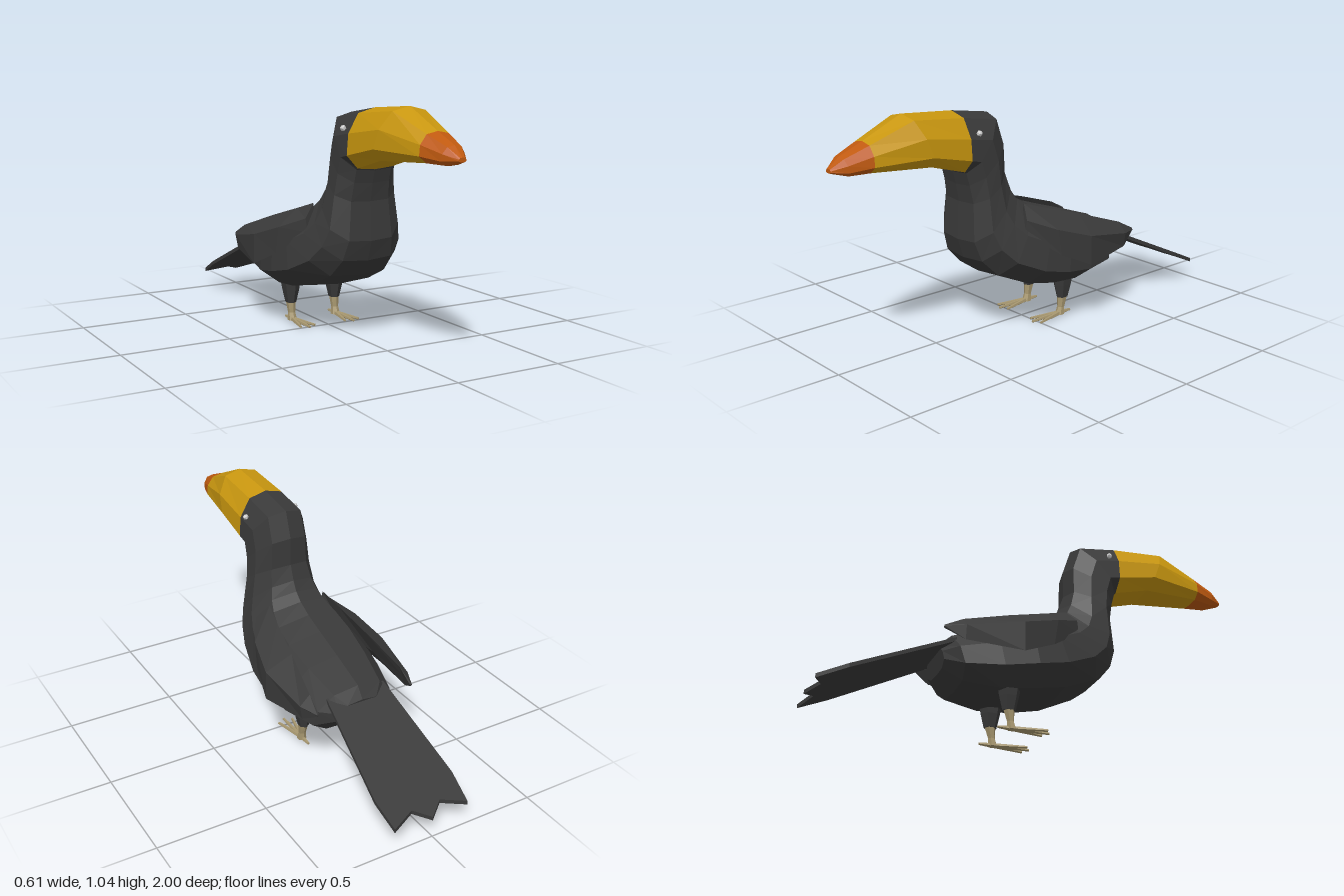
import * as THREE from 'three';

const mat = (color) => new THREE.MeshStandardMaterial({ color, flatShading: true });

// Skin over a list of closed rings of [x, y, z], with both ends capped
function loft(rings) {
  const n = rings[0].length, last = (rings.length - 1) * n, index = [];
  for (let r = 0; r < rings.length - 1; r++) {
    for (let i = 0; i < n; i++) {
      const a = r * n + i, b = r * n + (i + 1) % n;
      index.push(a, b, b + n, a, b + n, a + n);
    }
  }
  for (let i = 1; i < n - 1; i++) {
    index.push(0, i + 1, i, last, last + i, last + i + 1);
  }
  const g = new THREE.BufferGeometry();
  g.setAttribute('position', new THREE.Float32BufferAttribute(rings.flat(2), 3));
  g.setIndex(index);
  const flat = g.toNonIndexed();
  flat.computeVertexNormals();
  return flat;
}

// Half outline of a section: [height fraction, width fraction]
const HALF = [[0, 0], [0.03, 0.62], [0.25, 1], [0.6, 0.95], [0.92, 0.6], [1, 0]];

// Section given by its lower point, upper point (z, y) and half width
function section([z0, y0, z1, y1, w]) {
  const at = ([t, f], s) => [s * f * w, y0 + (y1 - y0) * t, z0 + (z1 - z0) * t];
  return [...HALF.map((p) => at(p, 1)), ...HALF.slice(1, -1).reverse().map((p) => at(p, -1))];
}

// Four-cornered or any other ring mirrored to one side
const toSide = (rings, s) => rings.map((ring) => {
  const m = ring.map(([x, y, z]) => [x * s, y, z]);
  return s < 0 ? m.reverse() : m;
});

// Horizontal polygon ring, ordered for a skin that runs upwards
const ringXZ = (x, y, z, rx, rz, n = 6) => Array.from({ length: n }, (_, i) => {
  const a = -(i + 0.5) / n * Math.PI * 2;
  return [x + rx * Math.cos(a), y, z + rz * Math.sin(a)];
});

export function createModel() {
  const model = new THREE.Group();
  const black = mat(0x3a3a3a), yellow = mat(0xc8960f), orange = mat(0xc05a10);
  const tan = mat(0xa89870), grey = mat(0xcccccc);
  const add = (name, geometry, material, parent = model) => {
    const mesh = new THREE.Mesh(geometry, material);
    mesh.name = name;
    parent.add(mesh);
    return mesh;
  };

  // Body, neck and head, from rump to beak base
  add('body', loft([
    [-0.44, 0.25, -0.46, 0.36, 0.12],
    [-0.36, 0.185, -0.42, 0.41, 0.195],
    [-0.2, 0.165, -0.25, 0.47, 0.24],
    [-0.05, 0.18, -0.1, 0.52, 0.26],
    [0.1, 0.21, 0, 0.555, 0.25],
    [0.26, 0.28, 0.07, 0.59, 0.22],
    [0.34, 0.36, 0.11, 0.625, 0.195],
    [0.37, 0.45, 0.135, 0.67, 0.172],
    [0.36, 0.62, 0.16, 0.74, 0.15],
    [0.375, 0.7, 0.16, 0.87, 0.14],
    [0.39, 0.755, 0.2, 0.99, 0.138],
    [0.392, 0.76, 0.392, 1.02, 0.138],
  ].map(section)), black);

  // Beak and its tip
  add('beak', loft([
    [0.392, 0.76, 0.392, 1.02, 0.138],
    [0.56, 0.81, 0.65, 1.04, 0.132],
    [0.84, 0.83, 0.84, 0.955, 0.086],
  ].map(section)), yellow);
  add('beakTip', loft([
    [0.84, 0.83, 0.84, 0.955, 0.086],
    [0.93, 0.83, 0.95, 0.91, 0.055],
    [1.0, 0.85, 1.0, 0.868, 0.018],
  ].map(section)), orange);

  // Tail: notched thin fan sloping down to the back
  const outline = [[0.145, 0.4], [0.193, 0.86], [0.18, 0.99], [0.07, 0.945], [0, 0.998]];
  const shape = new THREE.Shape([
    ...outline, ...outline.slice(0, -1).reverse().map(([x, s]) => [-x, s]),
  ].map(([x, s]) => new THREE.Vector2(x, s)));
  const tail = new THREE.ExtrudeGeometry(shape, { depth: 0.018, bevelEnabled: false });
  const p = tail.attributes.position;
  for (let i = 0; i < p.count; i++) {
    const s = p.getY(i);
    p.setXYZ(i, p.getX(i), 0.34 - 0.467 * (s - 0.44) + p.getZ(i), -s);
  }
  tail.computeVertexNormals();
  add('tail', tail, black);

  // Wing sections from tip to shoulder: lower, outer, upper, inner corner
  const wing = [
    [[0.235, 0.365, -0.485], [0.24, 0.372, -0.485], [0.235, 0.38, -0.485], [0.23, 0.372, -0.485]],
    [[0.265, 0.315, -0.4], [0.275, 0.38, -0.4], [0.228, 0.425, -0.4], [0.245, 0.375, -0.4]],
    [[0.305, 0.29, -0.15], [0.303, 0.425, -0.15], [0.19, 0.5, -0.18], [0.24, 0.38, -0.17]],
    [[0.268, 0.36, 0.0], [0.265, 0.48, 0.02], [0.16, 0.555, 0.0], [0.2, 0.4, 0.0]],
    [[0.19, 0.47, 0.15], [0.195, 0.53, 0.14], [0.14, 0.59, 0.11], [0.13, 0.5, 0.12]],
  ];

  for (const s of [1, -1]) {
    const side = s > 0 ? 'left' : 'right';
    add(side + 'Wing', loft(toSide(wing, s)), black);

    const eye = add(side + 'Eye', new THREE.IcosahedronGeometry(0.014, 0), grey);
    eye.position.set(s * 0.128, 0.935, 0.345);

    // Leg: feathered thigh, bare shank and four toes
    const leg = new THREE.Group();
    leg.name = side + 'Leg';
    model.add(leg);
    add('thigh', loft(toSide([
      ringXZ(0.116, 0.088, -0.15, 0.024, 0.03),
      ringXZ(0.116, 0.15, -0.15, 0.038, 0.045),
      ringXZ(0.118, 0.23, -0.15, 0.05, 0.06),
    ], s)), black, leg);
    add('shank', loft(toSide([
      ringXZ(0.116, 0.005, -0.135, 0.022, 0.022),
      ringXZ(0.116, 0.04, -0.142, 0.017, 0.016),
      ringXZ(0.116, 0.095, -0.15, 0.023, 0.026),
    ], s)), tan, leg);
    for (const [x, z] of [[0.08, 0.015], [0.116, 0.035], [0.152, 0.015], [0.116, -0.2]]) {
      const toe = new THREE.CylinderGeometry(0.006, 0.011, 1, 5);
      toe.translate(0, 0.5, 0).rotateX(Math.PI / 2);
      const dx = x - 0.116, dz = z + 0.14;
      const mesh = add('toe', toe, tan, leg);
      mesh.scale.z = Math.hypot(dx, dz);
      mesh.rotation.y = Math.atan2(s * dx, dz);
      mesh.position.set(s * 0.116, 0.01, -0.14);
    }
  }
  return model;
}
